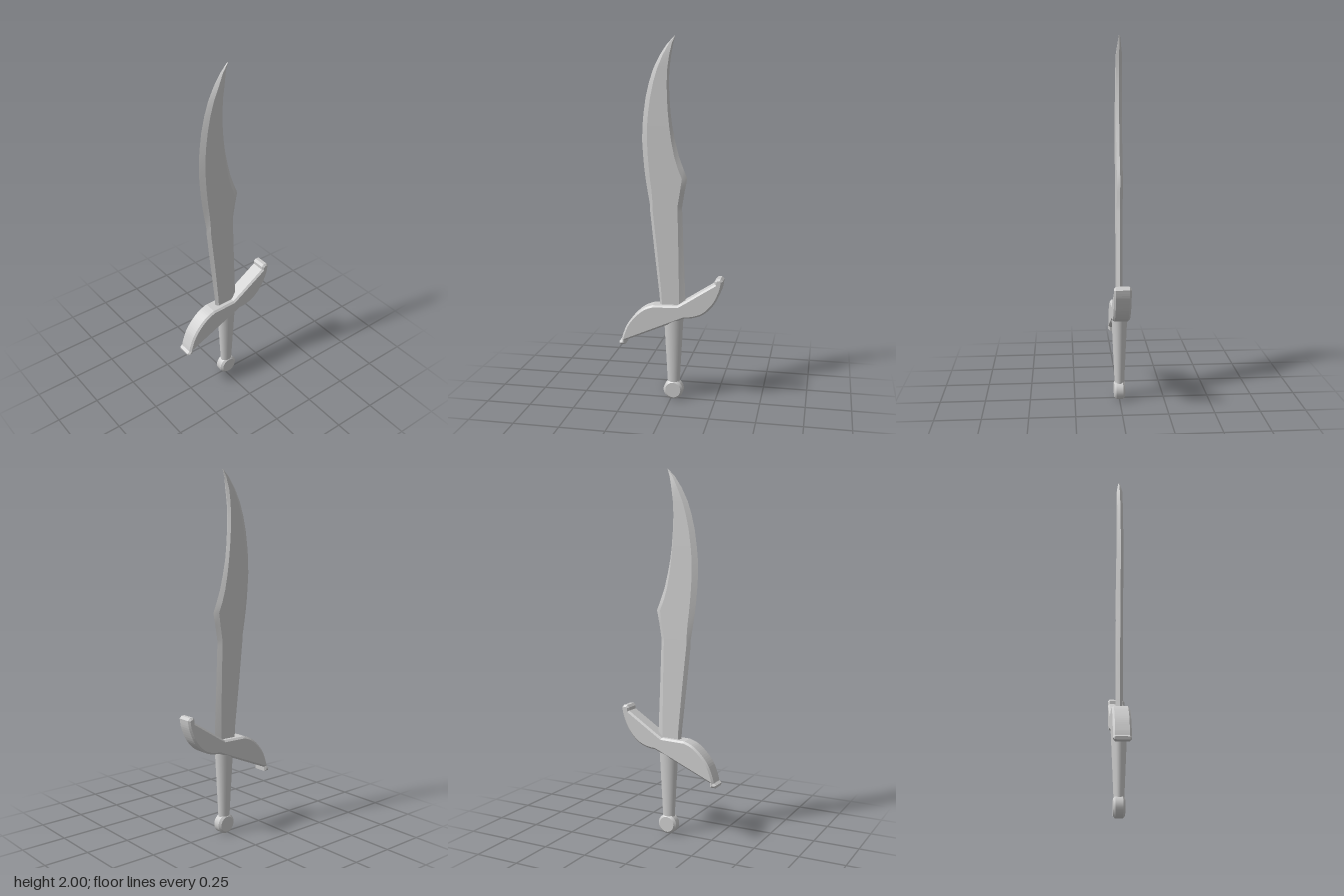
import * as THREE from 'three';

const material = new THREE.MeshStandardMaterial({ color: 0xcccccc });

function part(name, geometry) {
  const mesh = new THREE.Mesh(geometry, material);
  mesh.name = name;
  return mesh;
}

// Flat-sided blade with two bevelled edges, lofted from hexagonal sections.
// Each row: y, left edge, left bevel, right bevel, right edge
function bladeGeometry() {
  const rows = [
    [0.50, -0.06, -0.048, 0.046, 0.082],
    [0.60, -0.067, -0.052, 0.046, 0.078],
    [0.85, -0.095, -0.076, 0.042, 0.068],
    [1.07, -0.118, -0.1, 0.037, 0.06],
    [1.10, -0.118, -0.1, 0.037, 0.06],
    [1.18, -0.132, -0.106, 0.05, 0.073],
    [1.25, -0.143, -0.115, 0.06, 0.087],
    [1.31, -0.15, -0.121, 0.036, 0.063],
    [1.37, -0.155, -0.126, 0.018, 0.041],
    [1.45, -0.16, -0.13, 0.002, 0.021],
    [1.53, -0.158, -0.129, -0.009, 0.005],
    [1.60, -0.151, -0.123, -0.016, -0.004],
    [1.68, -0.14, -0.112, -0.021, -0.01],
    [1.76, -0.121, -0.095, -0.022, -0.013],
    [1.83, -0.098, -0.074, -0.019, -0.01],
    [1.90, -0.063, -0.044, -0.009, -0.001],
    [1.96, -0.022, -0.012, 0.004, 0.01],
    [2.00, 0.019, 0.02, 0.02, 0.021],
  ];
  const section = ([y, l, li, ri, r]) => {
    const t = y > 1.9 ? 0.016 - 0.13 * (y - 1.9) : 0.016;
    return [[l, y, 0], [li, y, t], [ri, y, t], [r, y, 0], [ri, y, -t], [li, y, -t]];
  };
  const rings = rows.map(section);
  const positions = [], index = [];
  // Separate strips keep the bevel lines sharp and the length smooth
  for (let s = 0; s < 6; s++) {
    const base = positions.length / 3;
    rings.forEach((ring) => positions.push(...ring[s], ...ring[(s + 1) % 6]));
    for (let i = 0; i < rings.length - 1; i++) {
      const a = base + i * 2;
      index.push(a, a + 1, a + 3, a, a + 3, a + 2);
    }
  }
  // End caps
  [rings[0], rings[rings.length - 1]].forEach((ring, top) => {
    const base = positions.length / 3;
    ring.forEach((p) => positions.push(...p));
    for (let i = 1; i < 5; i++) {
      index.push(base, base + (top ? i : i + 1), base + (top ? i + 1 : i));
    }
  });
  const geometry = new THREE.BufferGeometry();
  geometry.setAttribute('position', new THREE.Float32BufferAttribute(positions, 3));
  geometry.setIndex(index);
  geometry.computeVertexNormals();
  return geometry;
}

// S-curved crossguard with chamfered rims and small hooked tips
function guardGeometry() {
  const v = (x, y) => new THREE.Vector2(x, y);
  const shape = new THREE.Shape();
  shape.moveTo(-0.255, 0.335);
  shape.lineTo(0.08, 0.48);
  shape.splineThru([v(0.13, 0.486), v(0.19, 0.512), v(0.245, 0.57), v(0.28, 0.645), v(0.291, 0.7)]);
  shape.lineTo(0.278, 0.713);
  shape.lineTo(0.258, 0.713);
  shape.lineTo(0.246, 0.7);
  shape.lineTo(0.246, 0.682);
  shape.lineTo(0.08, 0.575);
  shape.lineTo(0.04, 0.55);
  shape.lineTo(-0.1, 0.546);
  shape.splineThru([v(-0.15, 0.526), v(-0.2, 0.485), v(-0.243, 0.43), v(-0.268, 0.37), v(-0.277, 0.335)]);
  shape.lineTo(-0.291, 0.325);
  shape.lineTo(-0.288, 0.31);
  shape.lineTo(-0.256, 0.31);
  const bevel = 0.01;
  const geometry = new THREE.ExtrudeGeometry(shape, {
    depth: 0.092 - 2 * bevel, curveSegments: 4,
    bevelEnabled: true, bevelThickness: bevel, bevelSize: bevel, bevelOffset: -bevel, bevelSegments: 1,
  });
  return geometry.translate(0, 0, -0.046 + bevel);
}

export function createModel() {
  const group = new THREE.Group();
  group.name = 'curvedSword';

  group.add(part('blade', bladeGeometry()));
  group.add(part('crossguard', guardGeometry()));

  // Tapered oval grip
  const grip = part('grip', new THREE.CylinderGeometry(0.056, 0.033, 0.42, 24));
  grip.scale.z = 0.8;
  grip.position.set(0.014, 0.29, 0);
  group.add(grip);

  // Disc pommel facing front, with chamfered rims
  const profile = [[0, -0.03], [0.043, -0.03], [0.043, -0.03], [0.055, -0.019], [0.055, -0.019],
    [0.055, 0.019], [0.055, 0.019], [0.043, 0.03], [0.043, 0.03], [0, 0.03]];
  const pommel = part('pommel', new THREE.LatheGeometry(profile.map(([r, y]) => new THREE.Vector2(r, y)), 28));
  pommel.rotation.x = Math.PI / 2;
  pommel.position.set(0.014, 0.055, 0);
  group.add(pommel);

  return group;
}
